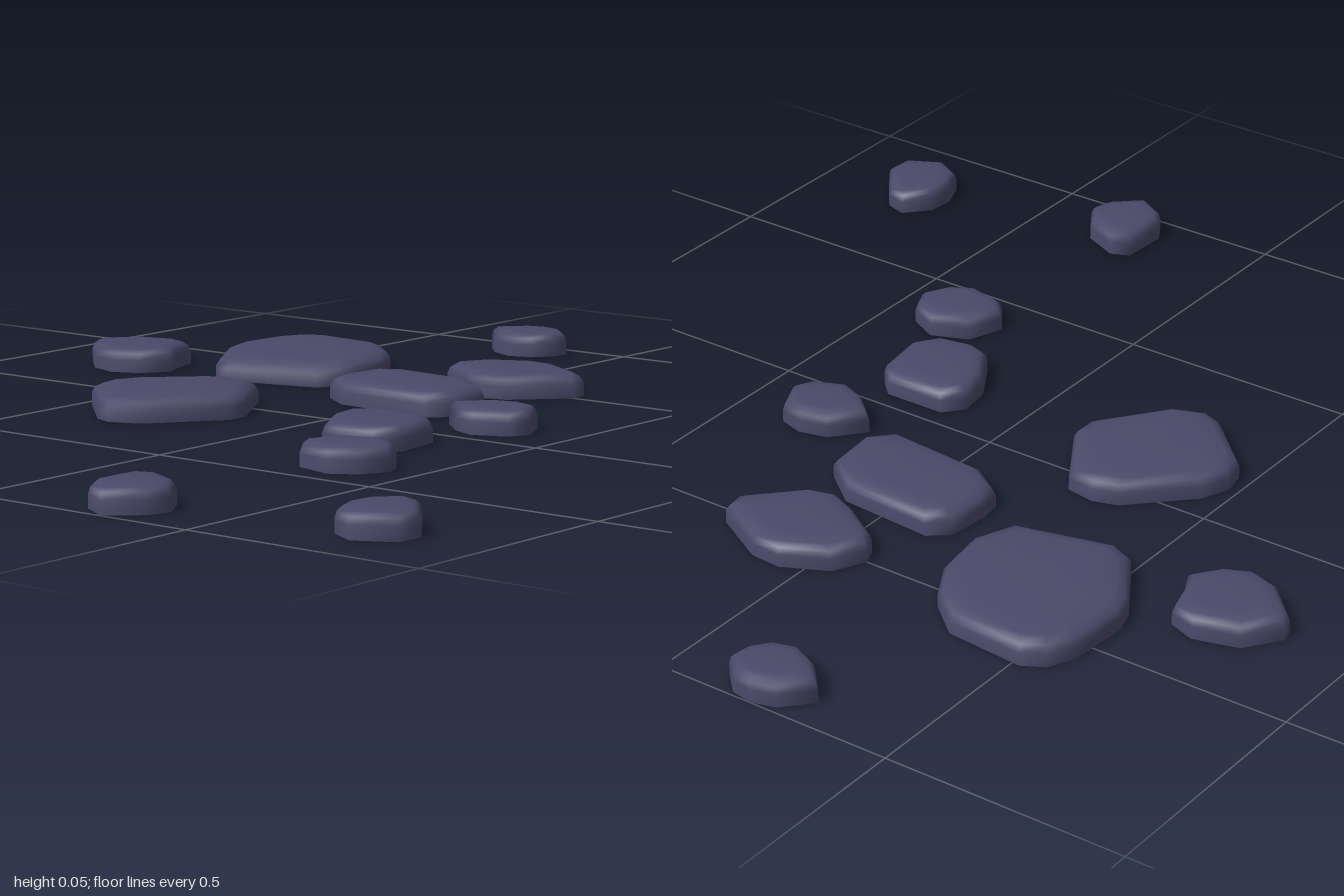
import * as THREE from 'three';

// Outline of each stone as x, z pairs, clockwise seen from above
const OUTLINES = {
  backPebble: [-.30, -.93, -.25, -.985, -.20, -1, -.155, -.99, -.115, -.95, -.12, -.91, -.15, -.87, -.20, -.855, -.255, -.88],
  largeBackSlab: [-.515, -.625, -.35, -.61, -.28, -.55, -.235, -.47, -.22, -.36, -.255, -.275, -.455, -.225, -.50, -.245, -.58, -.37, -.595, -.42, -.585, -.545, -.56, -.60],
  backStone: [-.08, -.50, -.045, -.565, .045, -.61, .11, -.605, .225, -.54, .23, -.50, .135, -.40, .08, -.385, .02, -.41, -.065, -.465],
  rightStone: [-.855, -.275, -.805, -.345, -.715, -.37, -.66, -.35, -.64, -.28, -.62, -.24, -.66, -.185, -.715, -.16, -.78, -.18, -.85, -.25],
  middleStone: [-.16, -.24, -.15, -.33, -.11, -.36, .09, -.345, .165, -.285, .175, -.175, .135, -.13, -.09, -.15, -.155, -.195],
  leftPebble: [.215, -.105, .27, -.17, .33, -.185, .38, -.17, .41, -.105, .39, -.065, .32, -.035, .27, -.055],
  largeFrontSlab: [-.48, .12, -.455, .06, -.34, -.055, -.29, -.07, -.23, -.06, -.145, .08, -.145, .13, -.25, .27, -.315, .295, -.355, .28, -.47, .17],
  squareStone: [.115, .08, .15, .04, .28, .04, .315, .075, .33, .185, .295, .235, .22, .25, .175, .235, .125, .15],
  smallPebble: [.255, .395, .285, .32, .36, .29, .42, .32, .44, .365, .41, .42, .36, .45, .28, .43],
  farLeftPebble: [.695, .81, .70, .755, .745, .705, .79, .72, .85, .80, .845, .855, .77, .895, .715, .865],
  frontPebble: [.225, .93, .23, .825, .27, .81, .345, .845, .38, .90, .365, .945, .305, 1, .245, .965],
};

// Edge profile: outline scale and height of each ring
const RINGS = [[1, 0], [1, .026], [.95, .039], [.84, .047], [.6, .05]];

// Rounded shell over an outline, open underneath
function stoneGeometry(outline) {
  const n = outline.length / 2;
  let cx = 0, cz = 0;
  for (let i = 0; i < n; i++) {
    cx += outline[2 * i] / n;
    cz += outline[2 * i + 1] / n;
  }
  const positions = [], index = [];
  RINGS.forEach(([scale, y], r) => {
    for (let i = 0; i < n; i++) {
      positions.push(cx + (outline[2 * i] - cx) * scale, y, cz + (outline[2 * i + 1] - cz) * scale);
      if (r === 0) continue;
      const j = (i + 1) % n, low = (r - 1) * n, high = r * n;
      index.push(low + i, high + i, low + j, high + i, high + j, low + j);
    }
  });
  // Flat top
  const centre = RINGS.length * n, last = centre - n;
  positions.push(cx, .05, cz);
  for (let i = 0; i < n; i++) index.push(last + i, centre, last + (i + 1) % n);

  const geometry = new THREE.BufferGeometry();
  geometry.setAttribute('position', new THREE.Float32BufferAttribute(positions, 3));
  geometry.setIndex(index);
  geometry.computeVertexNormals();
  return geometry;
}

export function createModel() {
  const group = new THREE.Group();
  group.name = 'steppingStones';
  const material = new THREE.MeshStandardMaterial({ color: 0x4a4a6a, side: THREE.DoubleSide });
  for (const [name, outline] of Object.entries(OUTLINES)) {
    const stone = new THREE.Mesh(stoneGeometry(outline), material);
    stone.name = name;
    group.add(stone);
  }
  return group;
}
